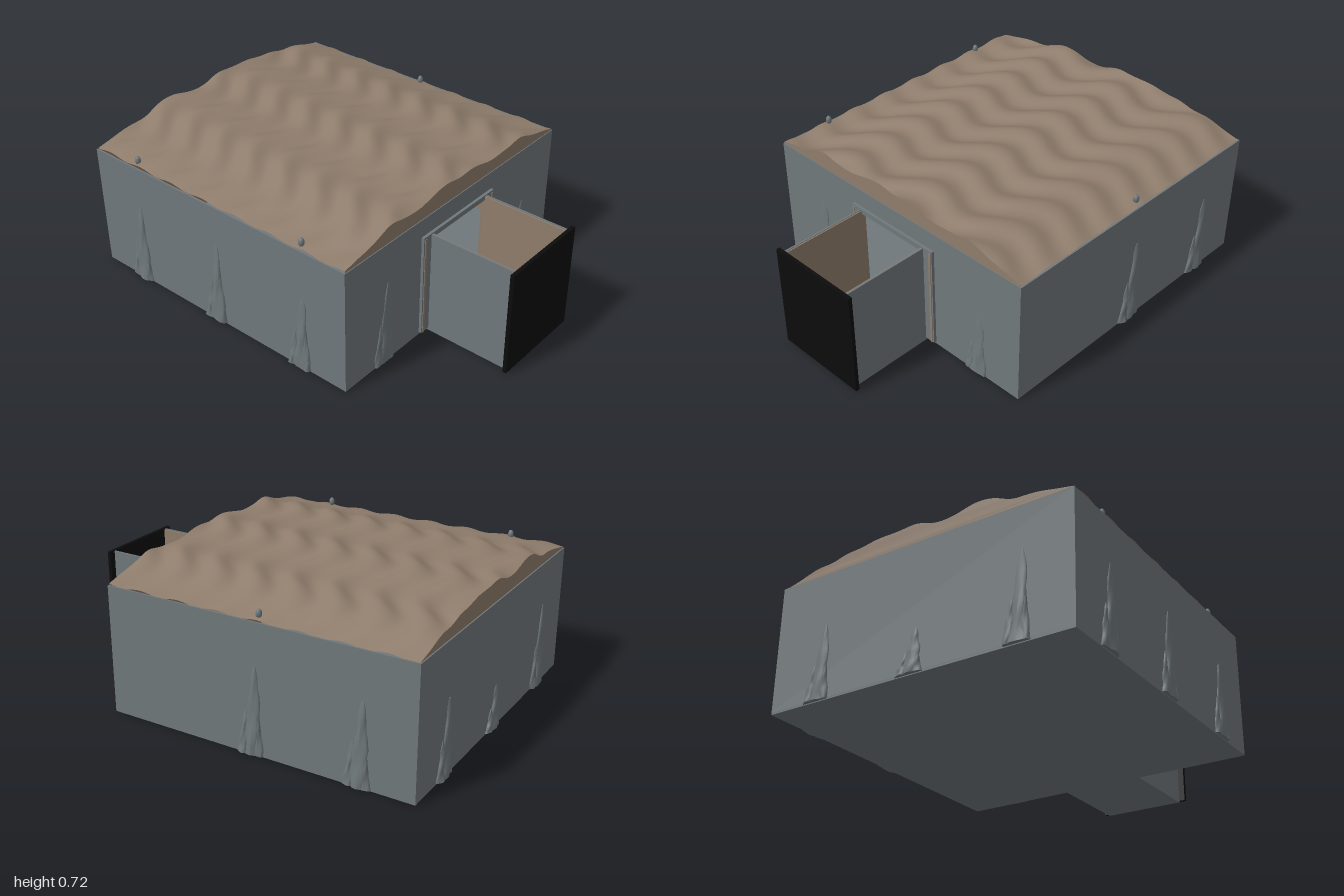
import * as THREE from 'three';

const mat = (name, color, side = THREE.FrontSide) => {
  const m = new THREE.MeshStandardMaterial({ color, side });
  m.name = name;
  return m;
};

// Arched roof with wavy dune ridges
function roofHeight(x, z) {
  const t = Math.abs(x) / 0.75;
  const fade = 1 - 0.5 * Math.pow(t, 6);
  const arch = 0.62 + 0.078 * (1 - Math.pow(t, 2.6));
  const ridge = Math.sin(Math.PI * 2 * (z / 0.2 + x * 0.8) + 1.5 * Math.sin(x * 14));
  const swell = Math.sin(x * 14 + 1 + z * 1.2);
  return arch + fade * (0.011 * ridge + 0.009 * swell);
}

export function createModel() {
  const model = new THREE.Group();
  const stone = mat('grey stone', 0x70787b);
  const sand = mat('brown earth', 0x8f7d6c, THREE.DoubleSide);
  const black = mat('black', 0x0c0c0c);

  const add = (name, geometry, material, parent = model) => {
    const mesh = new THREE.Mesh(geometry, material);
    mesh.name = name;
    parent.add(mesh);
    return mesh;
  };
  // Box given by its limits on each axis
  const box = (name, m, x0, x1, y0, y1, z0, z1) => {
    const g = new THREE.BoxGeometry(x1 - x0, y1 - y0, z1 - z0);
    g.translate((x0 + x1) / 2, (y0 + y1) / 2, (z0 + z1) / 2);
    return add(name, g, m);
  };

  const W = 0.757, H = 0.613, ZF = 0.545, ZB = -0.972, T = 0.008;

  // Room: floor, side walls and back wall with earth lining
  box('roomFloor', stone, -W, W, 0, 0.012, ZB, ZF);
  box('backWall', stone, -W, W, 0.012, H, ZB, ZB + T);
  box('backLining', sand, -W + T, W - T, 0.012, H - 0.004, ZB + T, ZB + T + 0.005);
  for (const s of [-1, 1]) {
    const span = (a, b) => [Math.min(s * a, s * b), Math.max(s * a, s * b)];
    box('sideWall', stone, ...span(W - T, W), 0.012, H, ZB + T, ZF);
    box('sideLining', sand, ...span(W - T - 0.005, W - T), 0.012, H - 0.004, ZB + T, ZF - T);
    // Front wall beside the doorway
    box('frontWall', stone, ...span(0.2, W - T), 0.012, H, ZF - T, ZF);
    box('frontLining', sand, ...span(0.2, W - T), 0.012, H - 0.004, ZF - T - 0.005, ZF - T);
    // Door frame posts
    box('framePost', stone, ...span(0.2, 0.257), 0.012, 0.525, ZF, ZF + 0.014);
    box('framePostStrip', sand, ...span(0.238, 0.25), 0.012, 0.515, ZF + 0.014, ZF + 0.017);
    // Passage walls, grey outside and brown inside
    box('passageWall', stone, ...span(0.196, 0.205), 0, 0.52, ZF, 0.982);
    box('passageLining', sand, ...span(0.19, 0.196), 0.012, 0.517, ZF, 0.982);
  }
  box('frontWallTop', stone, -0.2, 0.2, 0.5, H, ZF - T, ZF);
  box('frameLintel', stone, -0.2, 0.2, 0.5, 0.525, ZF, ZF + 0.014);

  // Passage floor with grey patches, and the black end door
  box('passageFloor', stone, -0.196, 0.196, 0, 0.01, ZF, 0.982);
  box('passageEarth', sand, -0.19, 0.19, 0.01, 0.014, ZF, 0.982);
  const patches = [[-0.09, 0.91, 0.035, 0.065], [-0.15, 0.95, 0.03, 0.03], [0.06, 0.95, 0.025, 0.03],
    [0.16, 0.95, 0.025, 0.03], [0.07, 0.665, 0.018, 0.035], [-0.17, 0.61, 0.02, 0.035], [0.14, 0.58, 0.03, 0.018]];
  for (const [x, z, rx, rz] of patches) {
    const g = new THREE.CircleGeometry(1, 14);
    g.rotateX(-Math.PI / 2);
    g.scale(rx, 1, rz);
    g.translate(x, 0.0155, z);
    add('floorPatch', g, stone);
  }
  box('endDoor', black, -0.235, 0.235, 0.008, 0.523, 0.982, 1);

  // Dune roof
  const z0 = ZB + 0.006, z1 = ZF - 0.004, RW = W - 0.006;
  const roof = new THREE.PlaneGeometry(RW * 2, z1 - z0, 80, 80);
  roof.rotateX(-Math.PI / 2);
  roof.translate(0, 0, (z0 + z1) / 2);
  const p = roof.attributes.position;
  for (let i = 0; i < p.count; i++) p.setY(i, roofHeight(p.getX(i), p.getZ(i)));
  roof.computeVertexNormals();
  add('duneRoof', roof, sand);

  // Gable ends that close the roof
  for (const z of [z0, z1]) {
    const s = new THREE.Shape();
    s.moveTo(-RW, H - 0.03);
    for (let i = 0; i <= 80; i++) {
      const x = -RW + (2 * RW * i) / 80;
      s.lineTo(x, roofHeight(x, z));
    }
    s.lineTo(RW, H - 0.03);
    const g = new THREE.ShapeGeometry(s);
    g.translate(0, 0, z);
    add('roofGable', g, sand);
  }

  // Lumpy rock spire, flattened against a wall
  const spire = (parent, x, h, w, d, lean, seed) => {
    const g = new THREE.CylinderGeometry(0.3, 1, 1, 12, 9);
    g.translate(0, 0.5, 0);
    const q = g.attributes.position;
    for (let i = 0; i < q.count; i++) {
      const y = q.getY(i), a = Math.atan2(q.getZ(i), q.getX(i));
      const r = (1 + 0.16 * Math.sin(a * 3 + y * 9 + seed) + 0.1 * Math.sin(y * 17 + seed * 2))
        * (y > 0.99 ? 0.4 : 1);
      q.setXYZ(i, x + q.getX(i) * r * w + lean * y, y * h, q.getZ(i) * r * d);
    }
    g.computeVertexNormals();
    add('rockSpire', g, stone, parent);
  };

  // Rock clusters: position, turn about y, height
  const clusters = [
    [-0.5, ZF, 0, 0.41], [0.51, ZF, 0, 0.32],
    [W, -0.2, 1, 0.41], [W, -0.71, 1, 0.39],
    [-W, -0.72, 3, 0.4], [-W, -0.22, 3, 0.41], [-W, 0.29, 3, 0.37],
    [-0.5, ZB, 2, 0.4], [0.5, ZB, 2, 0.35], [0.01, ZB, 2, 0.2],
  ];
  clusters.forEach(([x, z, turn, h], i) => {
    const c = new THREE.Group();
    c.name = 'rockCluster';
    c.position.set(x, 0.004, z);
    c.rotation.y = (turn * Math.PI) / 2;
    const d = turn === 0 ? 0.013 : 0.021;
    spire(c, 0.005, h, 0.045, d, 0.015, i);
    spire(c, -0.045, h * 0.5, 0.026, d * 0.9, 0.02, i + 2);
    spire(c, 0.038, h * 0.65, 0.02, d * 0.8, -0.008, i + 4);
    model.add(c);
  });

  // Small rock tips poking through the roof edge
  for (const [x, z] of [[-0.73, -0.71], [0.725, -0.225], [-0.73, 0.29]]) {
    const tip = add('rockTip', new THREE.SphereGeometry(0.014, 8, 6), stone);
    tip.scale.y = 1.6;
    tip.position.set(x, 0.64, z);
  }
  return model;
}
